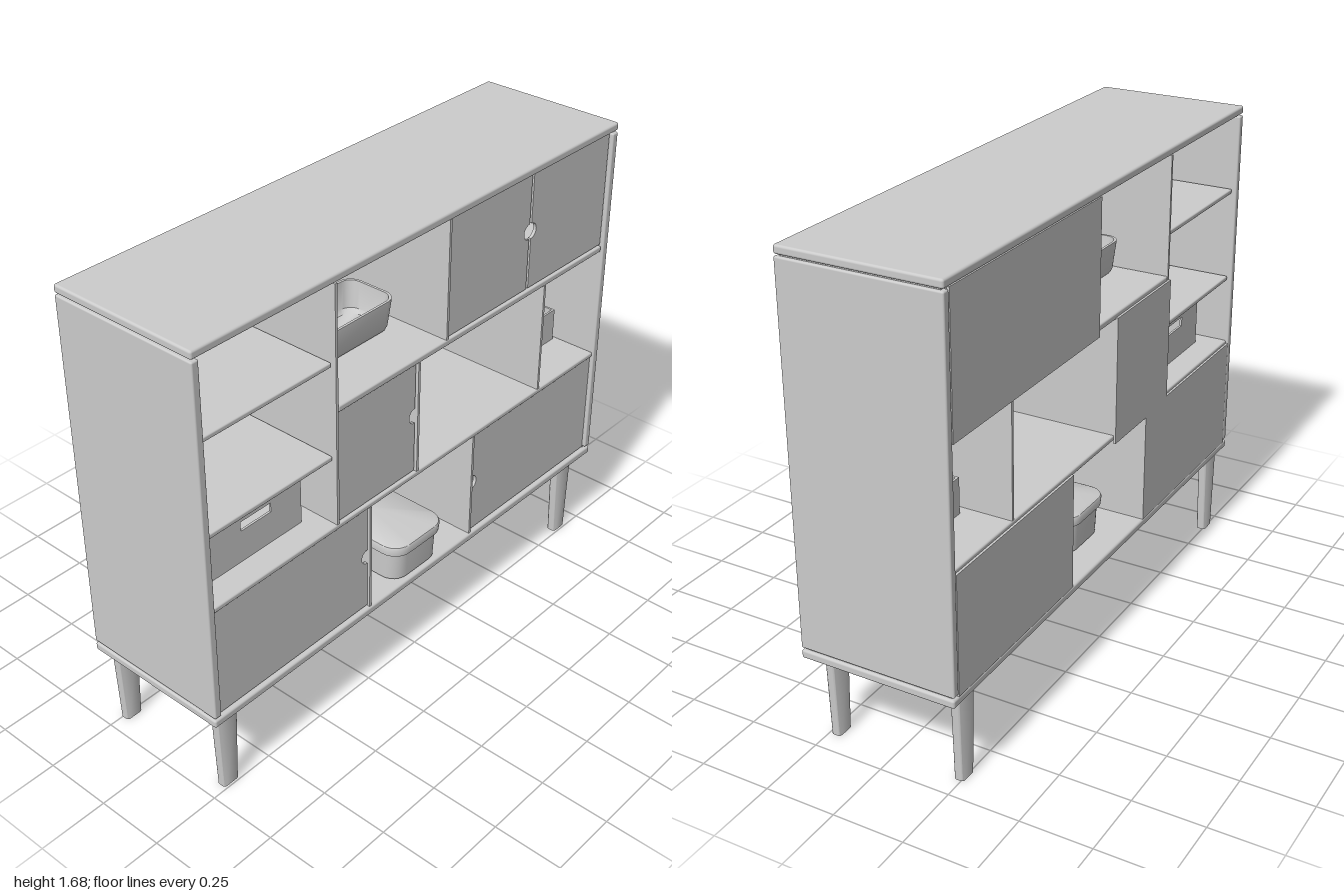
import * as THREE from 'three';
import { RoundedBoxGeometry } from 'three/addons/geometries/RoundedBoxGeometry.js';
import { toCreasedNormals } from 'three/addons/utils/BufferGeometryUtils.js';

const grey = new THREE.MeshStandardMaterial({ color: 0xcccccc, side: THREE.DoubleSide });

function add(parent, name, geometry, x = 0, y = 0, z = 0) {
  const mesh = new THREE.Mesh(geometry, grey);
  mesh.name = name;
  mesh.position.set(x, y, z);
  parent.add(mesh);
  return mesh;
}

// Board given by its extents, with softened edges when r > 0
function board(parent, name, [x0, x1], [y0, y1], [z0, z1], r = 0) {
  const size = [x1 - x0, y1 - y0, z1 - z0];
  const geometry = r ? new RoundedBoxGeometry(...size, 2, r) : new THREE.BoxGeometry(...size);
  return add(parent, name, geometry, (x0 + x1) / 2, (y0 + y1) / 2, (z0 + z1) / 2);
}

function rectShape(x0, x1, y0, y1, PathType = THREE.Shape) {
  const p = new PathType();
  p.moveTo(x0, y0).lineTo(x1, y0).lineTo(x1, y1).lineTo(x0, y1).closePath();
  return p;
}

// Sliding door with a half-round finger notch on one side (+1 right edge, -1 left edge)
function door(parent, name, [x0, x1], [y0, y1], notchSide, notchY) {
  const r = 0.028, s = new THREE.Shape();
  s.moveTo(x0, y0).lineTo(x1, y0);
  if (notchSide > 0) s.absarc(x1, notchY, r, -Math.PI / 2, Math.PI / 2, true);
  s.lineTo(x1, y1).lineTo(x0, y1);
  if (notchSide < 0) s.absarc(x0, notchY, r, Math.PI / 2, -Math.PI / 2, true);
  s.lineTo(x0, y0);
  add(parent, name, new THREE.ExtrudeGeometry(s, { depth: 0.012, bevelEnabled: false, curveSegments: 16 }), 0, 0, 0.255);
}

// Skin over rounded-rectangle rings [y, halfWidth, halfDepth, cornerRadius]
function loft(rings, steps = 6) {
  const pos = [], index = [], n = 4 * (steps + 1);
  for (const [y, w, d, r] of rings) {
    for (let c = 0; c < 4; c++) {
      const sx = c === 0 || c === 3 ? 1 : -1, sz = c < 2 ? 1 : -1;
      for (let i = 0; i <= steps; i++) {
        const a = (c + i / steps) * Math.PI / 2;
        pos.push(sx * (w - r) + r * Math.cos(a), y, sz * (d - r) + r * Math.sin(a));
      }
    }
  }
  for (let j = 0; j < rings.length - 1; j++) {
    for (let i = 0; i < n; i++) {
      const a = j * n + i, b = j * n + (i + 1) % n;
      index.push(a, a + n, b, b, a + n, b + n);
    }
  }
  const g = new THREE.BufferGeometry();
  g.setAttribute('position', new THREE.Float32BufferAttribute(pos, 3));
  g.setIndex(index);
  return toCreasedNormals(g, 0.7);
}

// Open box with a grip slot through its front and back walls
function gripBox(parent, name, [x0, x1], [y0, y1], halfDepth, slotX, slotY) {
  const box = new THREE.Group(), t = 0.008;
  box.name = name;
  const wall = rectShape(x0, x1, y0, y1);
  wall.holes.push(rectShape(...slotX, ...slotY, THREE.Path));
  const wallGeometry = new THREE.ExtrudeGeometry(wall, { depth: t, bevelEnabled: false });
  add(box, 'boxFront', wallGeometry, 0, 0, halfDepth - t);
  add(box, 'boxBack', wallGeometry, 0, 0, -halfDepth);
  const inner = [-halfDepth + t, halfDepth - t];
  board(box, 'boxRightSide', [x0, x0 + t], [y0, y1], inner);
  board(box, 'boxLeftSide', [x1 - t, x1], [y0, y1], inner);
  board(box, 'boxFloor', [x0 + t, x1 - t], [y0, y0 + t], inner);
  parent.add(box);
}

export function createModel() {
  const g = new THREE.Group();
  g.name = 'shelvingUnit';
  const full = [-0.28, 0.28], inset = [-0.272, 0.275];

  // Outer case
  board(g, 'top', [-1, 1], [1.656, 1.685], full, 0.008);
  board(g, 'base', [-1, 1], [0.323, 0.353], full, 0.008);
  for (const s of [-1, 1]) {
    const side = board(g, s < 0 ? 'rightSide' : 'leftSide', [-0.014, 0.014], [0.36, 1.65], full, 0.006);
    side.position.x = s * 0.985;
    board(g, 'sideSpacer', [s * 0.98 - 0.008, s * 0.98 + 0.008], [0.35, 1.66], [-0.265, 0.265]);
  }

  // Shelves
  board(g, 'lowerShelf', [-0.97, 0.97], [0.765, 0.785], inset, 0.006);
  board(g, 'upperShelf', [-0.418, 0.965], [1.203, 1.226], inset, 0.006);
  for (const y of [1.036, 1.373]) {
    board(g, 'smallShelf', [-0.965, -0.432], [y - 0.009, y + 0.009], [-0.265, 0.26], 0.005);
  }

  // Upright dividers: centre x, bottom, top
  const dividers = [
    [-0.424, 0.785, 1.65], [0.102, 1.226, 1.656], [-0.036, 0.785, 1.203],
    [0.633, 0.785, 1.203], [-0.269, 0.353, 0.765], [0.266, 0.353, 0.765],
  ];
  for (const [x, y0, y1] of dividers) board(g, 'divider', [x - 0.005, x + 0.005], [y0, y1], inset);

  // Sliding doors
  door(g, 'lowerRightDoor', [-0.968, -0.276], [0.36, 0.763], 1, 0.565);
  door(g, 'lowerLeftDoor', [0.273, 0.968], [0.36, 0.763], -1, 0.565);
  door(g, 'middleDoor', [-0.417, -0.046], [0.79, 1.2], 1, 1.005);
  door(g, 'upperInnerDoor', [0.11, 0.53], [1.23, 1.652], 1, 1.445);
  door(g, 'upperOuterDoor', [0.54, 0.966], [1.23, 1.652], -1, 1.445);

  // Back panels behind the closed compartments
  const backs = [
    [[-0.97, -0.264], [0.353, 0.772]], [[0.261, 0.97], [0.353, 0.772]],
    [[-0.429, -0.031], [0.755, 1.21]], [[0.097, 0.97], [1.19, 1.656]],
  ];
  for (const [x, y] of backs) board(g, 'backPanel', x, y, [-0.28, -0.272]);

  // Shelf pins in the open column
  const pin = new THREE.CylinderGeometry(0.004, 0.004, 0.012, 8).rotateZ(Math.PI / 2);
  for (const y of [1.005, 1.335, 1.62]) {
    for (const z of [-0.2, 0.2]) {
      add(g, 'shelfPin', pin, -0.967, y, z);
      add(g, 'shelfPin', pin, -0.434, y, z);
    }
  }

  // Tapered legs
  const leg = loft([[0, 0, 0, 0], [0, 0.033, 0.018, 0.012], [0.325, 0.046, 0.018, 0.012]]);
  for (const x of [-0.913, 0.893]) {
    for (const z of [-0.241, 0.225]) add(g, z > 0 ? 'frontLeg' : 'backLeg', leg, x, 0, z);
  }

  // Storage boxes with grip slots
  gripBox(g, 'largeBox', [-0.892, -0.493], [0.787, 0.977], 0.18, [-0.757, -0.627], [0.902, 0.936]);
  gripBox(g, 'smallBox', [0.678, 0.948], [0.787, 0.912], 0.11, [0.768, 0.855], [0.868, 0.89]);

  // Open tray with rounded corners
  add(g, 'tray', loft([
    [0, 0, 0, 0], [0, 0.205, 0.085, 0.05], [0.006, 0.213, 0.092, 0.05], [0.018, 0.217, 0.096, 0.05],
    [0.108, 0.225, 0.105, 0.05], [0.116, 0.225, 0.105, 0.05], [0.116, 0.216, 0.096, 0.042],
    [0.02, 0.207, 0.087, 0.042], [0.008, 0.195, 0.075, 0.042], [0.008, 0, 0, 0],
  ]), -0.17, 1.227, 0);

  // Lidded container
  const container = new THREE.Group();
  container.name = 'liddedContainer';
  container.position.set(-0.012, 0.353, 0.043);
  add(container, 'containerBody', loft([
    [0, 0, 0, 0], [0, 0.112, 0.215, 0.06], [0.008, 0.12, 0.223, 0.06],
    [0.125, 0.123, 0.228, 0.06], [0.125, 0, 0, 0],
  ]));
  add(container, 'containerLid', loft([
    [0.118, 0, 0, 0], [0.118, 0.131, 0.24, 0.065], [0.145, 0.133, 0.242, 0.065], [0.152, 0.13, 0.239, 0.063],
    [0.156, 0.122, 0.231, 0.058], [0.156, 0, 0, 0],
  ]));
  g.add(container);
  return g;
}
